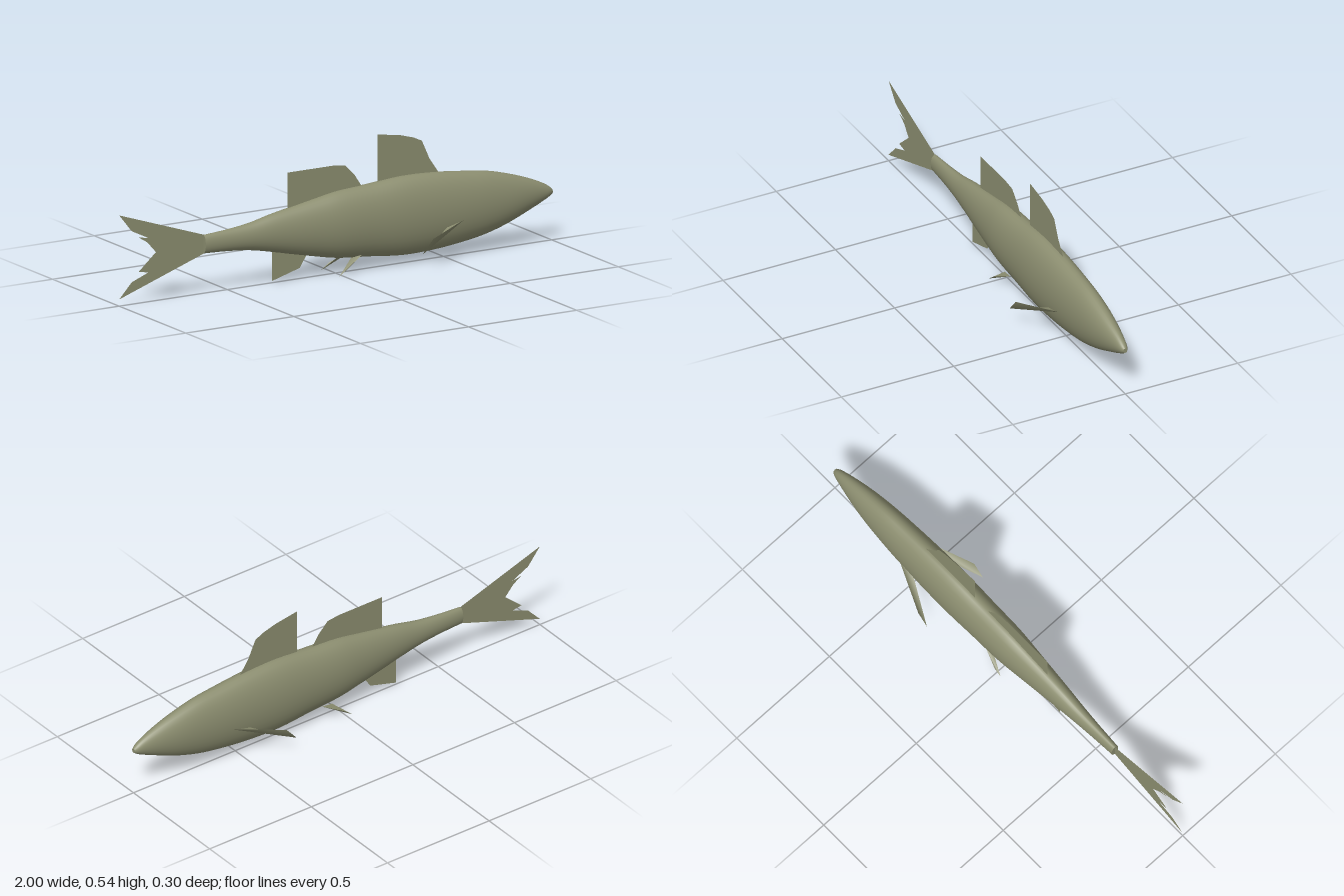
import * as THREE from 'three';

const skin = new THREE.MeshStandardMaterial({ color: 0x8c8e70 });
skin.name = 'oliveSkin';
const finSkin = new THREE.MeshStandardMaterial({ color: 0x8c8e70, side: THREE.DoubleSide });
finSkin.name = 'oliveFin';

// Body stations from tail root to snout: x, top, bottom, half width
const STATIONS = [
  [-0.61, 0.24, 0.165, 0.018], [-0.5, 0.248, 0.16, 0.025], [-0.4, 0.26, 0.15, 0.033],
  [-0.3, 0.282, 0.13, 0.042], [-0.2, 0.3, 0.107, 0.051], [-0.1, 0.318, 0.085, 0.06],
  [0, 0.335, 0.065, 0.068], [0.15, 0.345, 0.051, 0.071], [0.3, 0.357, 0.036, 0.074],
  [0.45, 0.353, 0.039, 0.072], [0.6, 0.338, 0.055, 0.067], [0.7, 0.325, 0.073, 0.061],
  [0.8, 0.3, 0.103, 0.052], [0.88, 0.274, 0.135, 0.04], [0.95, 0.245, 0.165, 0.026],
  [0.985, 0.225, 0.182, 0.017], [1, 0.212, 0.192, 0.009],
];

// Elliptical rings lofted through the stations
function loftBody(sides = 32, rings = 64) {
  const topLine = new THREE.CatmullRomCurve3(STATIONS.map(([x, t, , w]) => new THREE.Vector3(x, t, w)));
  const bottomLine = new THREE.CatmullRomCurve3(STATIONS.map(([x, , b, w]) => new THREE.Vector3(x, b, w)));
  const pos = [], index = [];
  for (let i = 0; i <= rings; i++) {
    const t = topLine.getPoint(i / rings), b = bottomLine.getPoint(i / rings);
    for (let j = 0; j < sides; j++) {
      const a = (j / sides) * Math.PI * 2;
      pos.push(t.x, (t.y + b.y) / 2 + Math.cos(a) * (t.y - b.y) / 2, Math.sin(a) * t.z);
      if (i < rings) {
        const p = i * sides + j, q = i * sides + (j + 1) % sides;
        index.push(p, q, p + sides, q, q + sides, p + sides);
      }
    }
  }
  const geo = new THREE.BufferGeometry();
  geo.setAttribute('position', new THREE.Float32BufferAttribute(pos, 3));
  geo.setIndex(index);
  geo.computeVertexNormals();
  return geo;
}

// Flat end cap matching a station
function endCap([x, top, bottom, w], dir) {
  const geo = new THREE.CircleGeometry(1, 32);
  geo.scale(w, (top - bottom) / 2, 1);
  geo.rotateY(dir * Math.PI / 2);
  geo.translate(x, (top + bottom) / 2, 0);
  return geo;
}

// Upright fin on the centre plane
function flatFin(points) {
  return new THREE.ShapeGeometry(new THREE.Shape(points.map(([x, y]) => new THREE.Vector2(x, y))));
}

// Four-cornered side fin, mirrored by the sign of z
function sideFin(corners, side) {
  const geo = new THREE.BufferGeometry();
  const pos = corners.flatMap(([x, y, z]) => [x, y, z * side]);
  geo.setAttribute('position', new THREE.Float32BufferAttribute(pos, 3));
  geo.setIndex(side > 0 ? [0, 1, 2, 0, 2, 3] : [0, 2, 1, 0, 3, 2]);
  geo.computeVertexNormals();
  return geo;
}

export function createModel() {
  const fish = new THREE.Group();
  fish.name = 'fish';
  const add = (name, geo, mat = finSkin) => {
    const mesh = new THREE.Mesh(geo, mat);
    mesh.name = name;
    fish.add(mesh);
  };

  // Body
  add('body', loftBody(), skin);
  add('tailRootCap', endCap(STATIONS[0], -1), skin);
  add('snoutCap', endCap(STATIONS[STATIONS.length - 1], 1), skin);

  // Fins on the centre plane, roots sunk into the body
  add('tailFin', flatFin([
    [-0.6, 0.238], [-1, 0.372], [-0.942, 0.3], [-0.865, 0.262], [-0.91, 0.27], [-0.87, 0.245],
    [-0.83, 0.2], [-0.91, 0.13], [-0.865, 0.122], [-0.942, 0.092], [-1, 0.03], [-0.6, 0.167],
  ]));
  add('frontDorsalFin', flatFin([
    [0.195, 0.3], [0.195, 0.54], [0.3, 0.523], [0.36, 0.506], [0.4, 0.487], [0.435, 0.41], [0.48, 0.345], [0.46, 0.3],
  ]));
  add('rearDorsalFin', flatFin([
    [-0.222, 0.25], [-0.222, 0.441], [-0.01, 0.441], [0.045, 0.434], [0.09, 0.388], [0.125, 0.335], [0.1, 0.28],
  ]));
  add('analFin', flatFin([[-0.293, 0.17], [-0.293, 0.01], [-0.165, 0.046], [-0.13, 0.1], [-0.15, 0.15]]));

  // Paired fins
  for (const [label, side] of [['Front', 1], ['Back', -1]]) {
    add('pectoralFin' + label, sideFin(
      [[0.56, 0.161, 0.064], [0.36, 0.126, 0.151], [0.31, 0.069, 0.151], [0.48, 0.14, 0.064]], side));
    add('pelvicFin' + label, sideFin(
      [[0.1, 0.072, 0.038], [0.01, 0.03, 0.067], [-0.025, 0.003, 0.067], [0.05, 0.066, 0.036]], side));
  }
  return fish;
}
